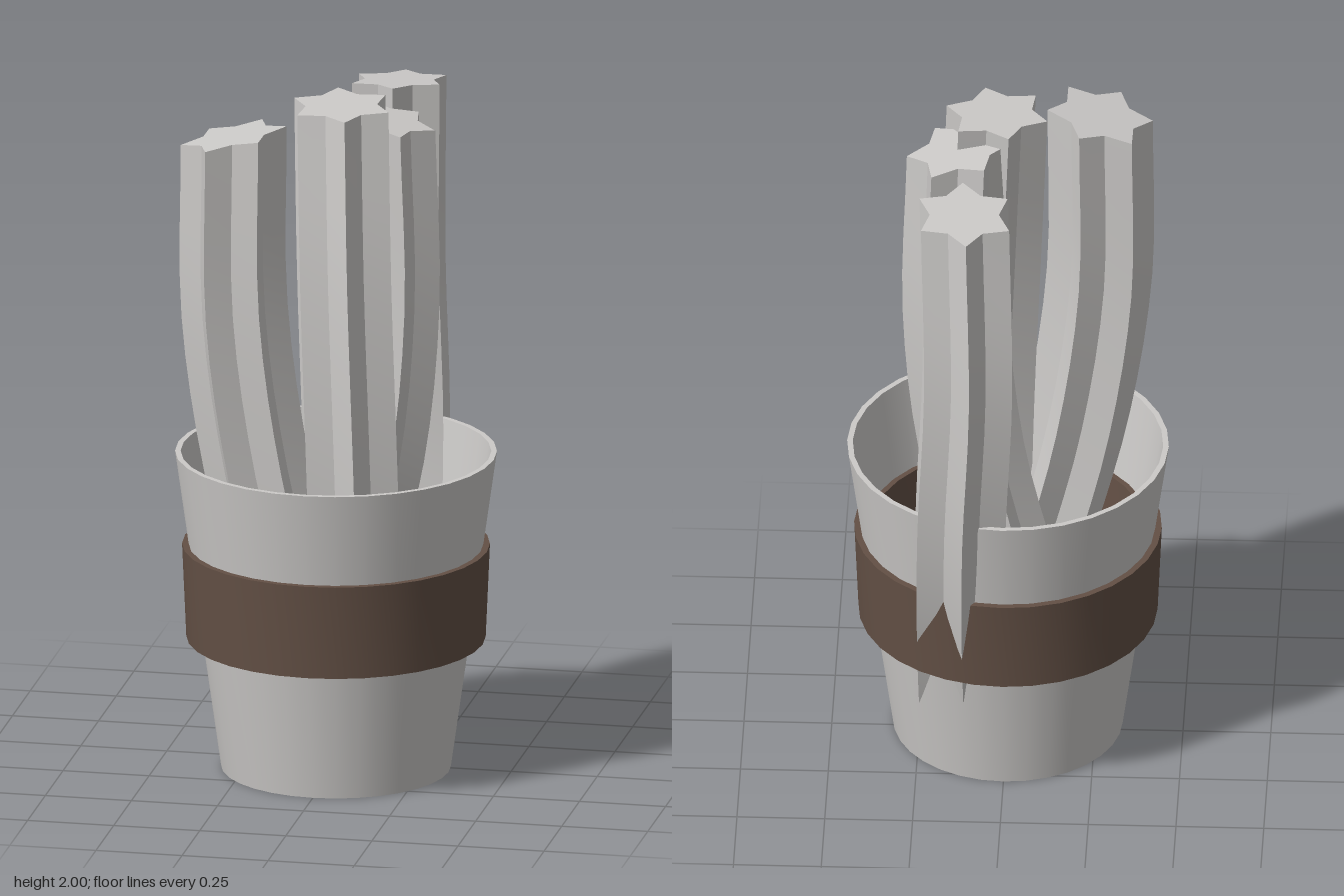
import * as THREE from 'three';
import { toCreasedNormals } from 'three/addons/utils/BufferGeometryUtils.js';

const V = (x, y, z) => new THREE.Vector3(x, y, z);

// Ring-shaped part turned from a [radius, height] profile
function turned(name, profile, material) {
  const points = profile.map(([r, y]) => new THREE.Vector2(r, y));
  const mesh = new THREE.Mesh(toCreasedNormals(new THREE.LatheGeometry(points, 32), 0.5), material);
  mesh.name = name;
  mesh.position.z = 0.042;
  return mesh;
}

// Six-pointed star section swept up a curved path; phase turns the star,
// tiltX and tiltZ slope the cut top
function churro(name, { path, radius, phase, tiltX = 0, tiltZ = 0 }, material) {
  const corners = [];
  for (let i = 0; i < 12; i++) {
    const r = i % 2 ? radius * 0.68 : radius;
    const a = i * Math.PI / 6;
    corners.push(new THREE.Vector2(r * Math.cos(a), r * Math.sin(a)));
  }
  const geometry = new THREE.ExtrudeGeometry(new THREE.Shape(corners), { depth: 1, steps: 16, bevelEnabled: false });
  geometry.rotateX(-Math.PI / 2);
  geometry.rotateY(-THREE.MathUtils.degToRad(phase));
  const curve = new THREE.CatmullRomCurve3(path);
  const pos = geometry.attributes.position;
  for (let i = 0; i < pos.count; i++) {
    const x = pos.getX(i), z = pos.getZ(i);
    const t = THREE.MathUtils.clamp(pos.getY(i), 0, 1);
    const p = curve.getPoint(t);
    pos.setXYZ(i, p.x + x, p.y + t * (tiltX * x + tiltZ * z), p.z + z);
  }
  const mesh = new THREE.Mesh(toCreasedNormals(geometry, 0.5), material);
  mesh.name = name;
  return mesh;
}

export function createModel() {
  const group = new THREE.Group();
  group.name = 'cupOfChurros';

  const paleGrey = new THREE.MeshStandardMaterial({ color: 0xcccac8 });
  paleGrey.name = 'pale grey';
  const brown = new THREE.MeshStandardMaterial({ color: 0x635045 });
  brown.name = 'sleeve brown';

  // Tapered hollow cup
  group.add(turned('cup', [
    [0, 0], [0.327, 0], [0.458, 0.935], [0.442, 0.935], [0.311, 0.02], [0, 0.02],
  ], paleGrey));

  // Band around the cup
  group.add(turned('sleeve', [
    [0.372, 0.385], [0.426, 0.385], [0.438, 0.66], [0.387, 0.66], [0.372, 0.385],
  ], brown));

  // Bent sticks, listed with their paths from base to tip
  const sticks = {
    backChurro: {
      radius: 0.145, phase: 26, tiltX: 0.03, tiltZ: 0.1,
      path: [V(0.12, 0.01, -0.06), V(0.125, 0.5, -0.235), V(0.12, 0.92, -0.32), V(0.1, 1.4, -0.352), V(0.11, 1.94, -0.317)],
    },
    rightFrontChurro: {
      radius: 0.151, phase: -9, tiltX: 0.2,
      path: [V(0.05, 0.01, 0.2), V(-0.085, 0.5, 0.215), V(-0.19, 0.93, 0.23), V(-0.253, 1.4, 0.245), V(-0.254, 1.918, 0.252)],
    },
    middleChurro: {
      radius: 0.15, phase: 15, tiltZ: -0.05,
      path: [V(0.085, 0.01, 0.14), V(0.085, 0.5, 0.19), V(0.075, 1.0, 0.212), V(0.055, 1.5, 0.195), V(0.035, 1.992, 0.136)],
    },
    leftChurro: {
      radius: 0.15, phase: 0, tiltX: -0.18,
      path: [V(-0.15, 0.01, 0.04), V(0, 0.5, 0.04), V(0.105, 0.93, 0.04), V(0.15, 1.4, 0.04), V(0.138, 1.93, 0.04)],
    },
  };
  for (const [name, spec] of Object.entries(sticks)) group.add(churro(name, spec, paleGrey));

  return group;
}
